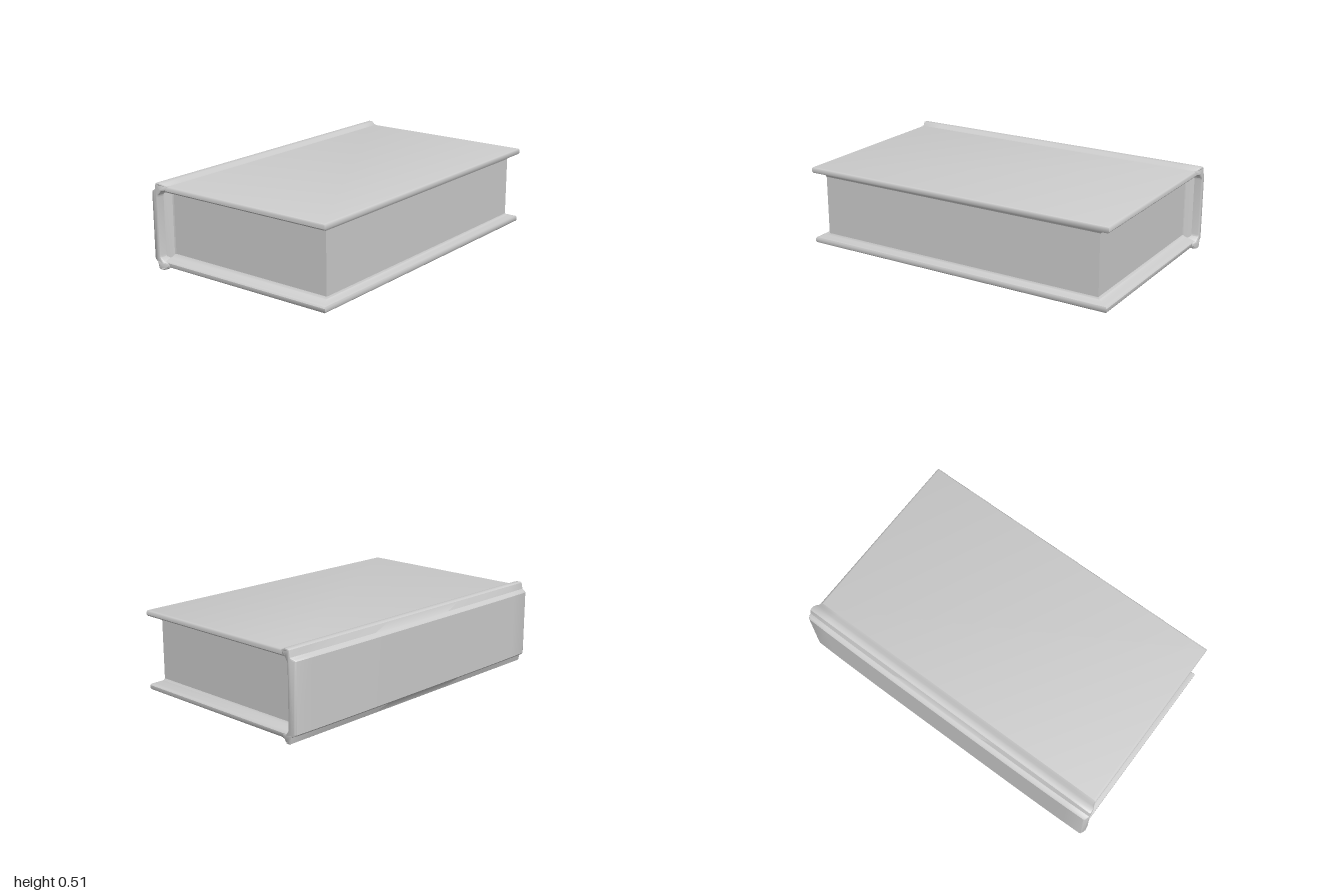
import * as THREE from 'three';
import { toCreasedNormals } from 'three/addons/utils/BufferGeometryUtils.js';

const HEIGHT = 0.51, MID = HEIGHT / 2;
const material = new THREE.MeshStandardMaterial({ color: 0xcccccc });

// Stacks rectangles [y, right x, half depth] that share a left edge, and caps both ends
function loftRects(rows, leftX) {
  const pos = [], index = [];
  for (const [y, x, z] of rows) pos.push(x, y, z, x, y, -z, leftX, y, -z, leftX, y, z);
  for (let i = 0; i < rows.length - 1; i++) {
    for (let j = 0; j < 4; j++) {
      const a = i * 4 + j, b = i * 4 + (j + 1) % 4;
      index.push(a, b, b + 4, a, b + 4, a + 4);
    }
  }
  const t = (rows.length - 1) * 4;
  index.push(0, 2, 1, 0, 3, 2, t, t + 1, t + 2, t, t + 2, t + 3);
  const g = new THREE.BufferGeometry();
  g.setAttribute('position', new THREE.Float32BufferAttribute(pos, 3));
  g.setIndex(index);
  return g;
}

const mirrorY = ([x, y]) => [x, HEIGHT - y];

export function createModel() {
  const book = new THREE.Group();
  book.name = 'book';
  const add = (name, geometry, crease = 0.7) => {
    const mesh = new THREE.Mesh(toCreasedNormals(geometry, crease), material);
    mesh.name = name;
    book.add(mesh);
  };

  // Page block: straight sides between the covers
  add('pageBlock', loftRects([[0.05, 0.567, 0.91], [HEIGHT - 0.05, 0.567, 0.91]], -0.53));

  // Covers: rounded edge, flaring in to meet the pages
  const coverRows = [
    [0.016, 0.602, 0.968], [0.019, 0.609, 0.977], [0.026, 0.613, 0.982],
    [0.044, 0.613, 0.982], [0.052, 0.609, 0.975], [0.056, 0.598, 0.96],
    [0.061, 0.58, 0.935], [0.067, 0.571, 0.918], [0.08, 0.566, 0.909],
  ];
  add('bottomCover', loftRects(coverRows, -0.535));
  add('topCover', loftRects(coverRows.map(([y, x, z]) => [HEIGHT - y, x, z]).reverse(), -0.535));

  // Page binding: the pages widen where they meet the spine
  const binding = new THREE.Shape([
    [-0.52, -0.91], [-0.53, -0.912], [-0.553, -0.95], [-0.575, -0.96],
    [-0.575, 0.96], [-0.553, 0.95], [-0.53, 0.912], [-0.52, 0.91],
  ].map(p => new THREE.Vector2(...p)));
  const bindingGeo = new THREE.ExtrudeGeometry(binding, { depth: HEIGHT - 0.08, bevelEnabled: false });
  bindingGeo.rotateX(-Math.PI / 2).translate(0, 0.04, 0);
  add('binding', bindingGeo);

  // Spine: C-shaped section with raised hinges, extruded along the book
  const outer = [[-0.495, 0.494], [-0.512, 0.498], [-0.53, 0.508], [-0.542, 0.51], [-0.563, 0.51],
    [-0.572, 0.505], [-0.587, 0.468], [-0.593, 0.464], [-0.608, 0.459], [-0.616, 0.45]];
  const inner = [[-0.558, 0.425], [-0.556, 0.438], [-0.535, 0.462], [-0.495, 0.472]];
  const section = [
    ...outer, ...outer.map(mirrorY).reverse(),
    ...inner.map(mirrorY).reverse(), ...inner,
  ];
  const bevel = 0.008;
  const spineGeo = new THREE.ExtrudeGeometry(
    new THREE.Shape(section.map(p => new THREE.Vector2(...p))),
    { depth: 2 - 2 * bevel, steps: 16, bevelThickness: bevel, bevelSize: bevel, bevelOffset: -bevel, bevelSegments: 2 });
  spineGeo.translate(0, 0, -1 + bevel);
  // Bow the back slightly and shorten the hinge towards the covers
  const p = spineGeo.attributes.position;
  for (let i = 0; i < p.count; i++) {
    const x = p.getX(i), z = p.getZ(i);
    if (x < -0.58) p.setX(i, x + 0.007 * z ** 4);
    p.setZ(i, z * (1 - 0.018 * THREE.MathUtils.smoothstep(x, -0.55, -0.51)
      - 0.008 * THREE.MathUtils.smoothstep(-x, 0.59, 0.616)));
  }
  add('spine', spineGeo, 0.6);

  return book;
}
